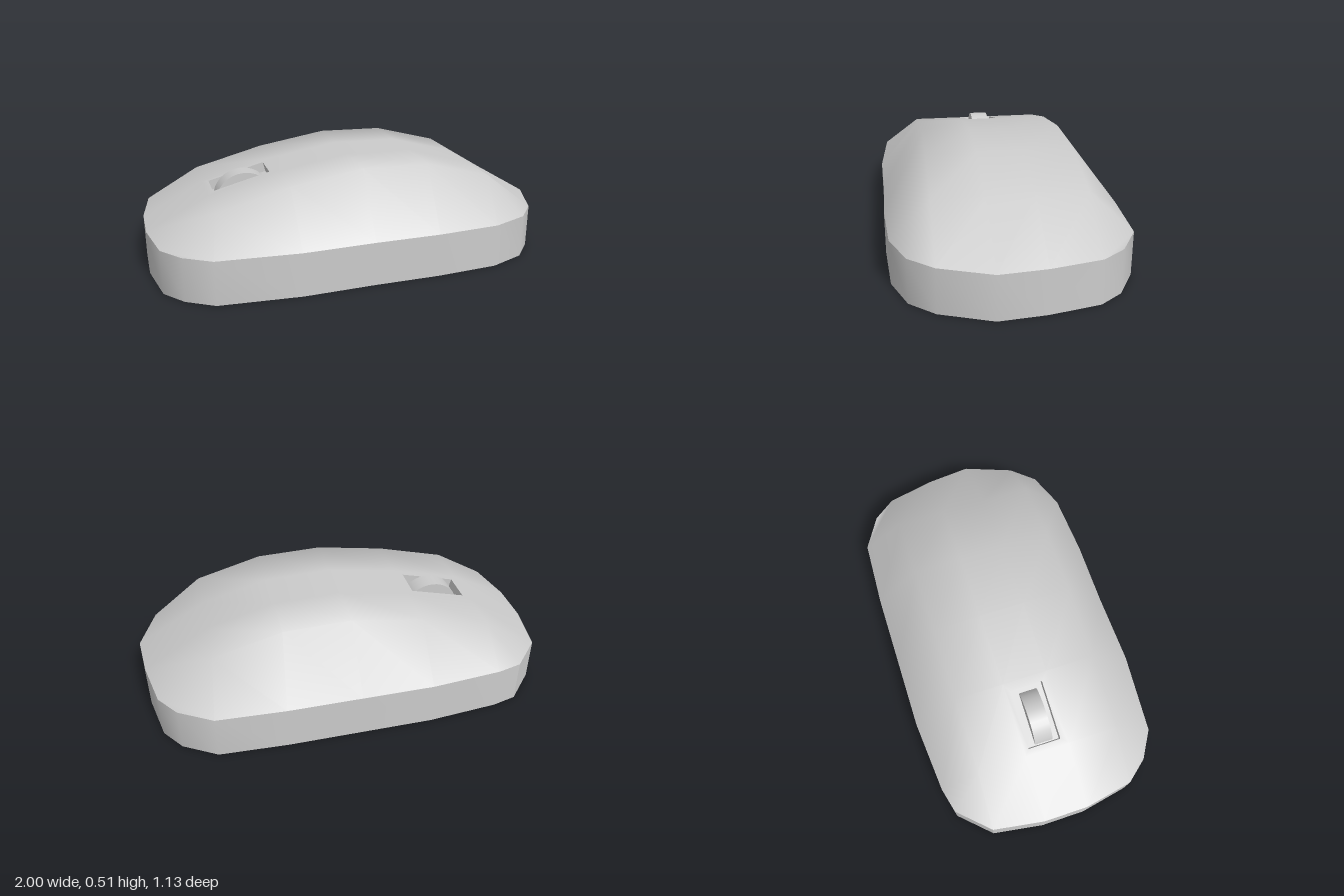
import * as THREE from 'three';
import { toCreasedNormals } from 'three/addons/utils/BufferGeometryUtils.js';

// Rim outline as [x, z], by side of a 7 x 6 grid
const RIM_Y = 0.215;
const back = [[-0.82, -0.51], [-0.7, -0.54], [-0.35, -0.57], [0, -0.57], [0.36, -0.57], [0.69, -0.555], [0.85, -0.46]];
const front = [[-0.87, 0.455], [-0.74, 0.535], [-0.35, 0.565], [0, 0.555], [0.32, 0.555], [0.63, 0.535], [0.81, 0.465]];
const right = [[-0.96, -0.36], [-1, -0.11], [-1, 0.11], [-0.955, 0.35]];
const left = [[0.93, -0.35], [0.98, -0.11], [1, 0.11], [0.91, 0.35]];

// Crown: height along x, constant across the rows
const crown = [[-0.7, 0.365], [-0.35, 0.455], [0, 0.51], [0.33, 0.5], [0.66, 0.41]];
const rows = [-0.35, -0.11, 0.11, 0.35];

// Wheel slot, cut square to the sloping crown
const SLOT = { x0: -0.67, x1: -0.39, z0: -0.085, z1: 0.075, depth: 0.05 };
const SLOPE = Math.atan2(0.09, 0.35);
const slopeY = (x) => 0.365 + (x + 0.7) * Math.tan(SLOPE);

function gridPoint(i, j) {
  const rim = j === 0 ? back[i] : j === 5 ? front[i] : i === 0 ? right[j - 1] : i === 6 ? left[j - 1] : null;
  return rim ? [rim[0], RIM_Y, rim[1]] : [crown[i - 1][0], crown[i - 1][1], rows[j - 1]];
}

function build(points, index) {
  const g = new THREE.BufferGeometry();
  g.setAttribute('position', new THREE.Float32BufferAttribute(points.flat(), 3));
  g.setIndex(index);
  g.computeVertexNormals();
  return g;
}

// Smooth upper shell with a rectangular opening in one cell
function shellGeometry() {
  const pts = [], idx = [];
  const quad = (a, b, c, d) => idx.push(a, b, c, a, c, d);
  for (let i = 0; i < 7; i++) for (let j = 0; j < 6; j++) pts.push(gridPoint(i, j));
  for (let i = 0; i < 6; i++) {
    for (let j = 0; j < 5; j++) {
      const c = [i * 6 + j, i * 6 + j + 1, i * 6 + j + 7, i * 6 + j + 6];
      if (i === 1 && j === 2) {
        const h = pts.length;
        const { x0, x1, z0, z1 } = SLOT;
        for (const [x, z] of [[x0, z0], [x0, z1], [x1, z1], [x1, z0]]) pts.push([x, slopeY(x), z]);
        for (let k = 0; k < 4; k++) {
          const n = (k + 1) % 4;
          quad(c[k], c[n], h + n, h + k);
        }
      } else quad(...c);
    }
  }
  return build(pts, idx);
}

// Upright side wall and flat underside
function wallGeometry(outline) {
  const pts = [], idx = [], n = outline.length;
  for (const [x, z] of outline) pts.push([x, 0, z], [x, RIM_Y, z]);
  for (let k = 0; k < n; k++) {
    const a = 2 * k, b = 2 * ((k + 1) % n);
    idx.push(a, a + 1, b + 1, a, b + 1, b);
  }
  return toCreasedNormals(build(pts, idx), 0.55);
}

function undersideGeometry(outline) {
  const pts = [[0, 0, 0], ...outline.map(([x, z]) => [x, 0, z])], idx = [];
  const n = outline.length;
  for (let k = 0; k < n; k++) idx.push(0, 1 + k, 1 + ((k + 1) % n));
  return build(pts, idx);
}

// Open-topped pocket
function slotGeometry() {
  const { x0, x1, z0, z1, depth } = SLOT;
  const g = new THREE.BoxGeometry((x1 - x0) / Math.cos(SLOPE), depth, z1 - z0);
  const all = Array.from(g.index.array);
  g.setIndex([...all.slice(0, 12), ...all.slice(18)]);
  g.clearGroups();
  const xm = (x0 + x1) / 2;
  return g.translate(0, -depth / 2, 0).rotateZ(SLOPE).translate(xm, slopeY(xm), (z0 + z1) / 2);
}

export function createModel() {
  const model = new THREE.Group();
  model.name = 'computerMouse';
  const material = new THREE.MeshStandardMaterial({ color: 0xcccccc });
  const openMaterial = new THREE.MeshStandardMaterial({ color: 0xcccccc, side: THREE.DoubleSide });
  const add = (name, geometry, mat = material) => {
    const mesh = new THREE.Mesh(geometry, mat);
    mesh.name = name;
    model.add(mesh);
  };
  const outline = [...back, ...left, ...[...front].reverse(), ...[...right].reverse()];

  add('upperShell', shellGeometry());
  add('sideWall', wallGeometry(outline));
  add('underside', undersideGeometry(outline));
  add('wheelSlot', slotGeometry(), openMaterial);
  add('scrollWheel', new THREE.CylinderGeometry(0.146, 0.146, 0.09, 32).rotateX(Math.PI / 2).translate(-0.51, 0.294, 0));
  return model;
}
